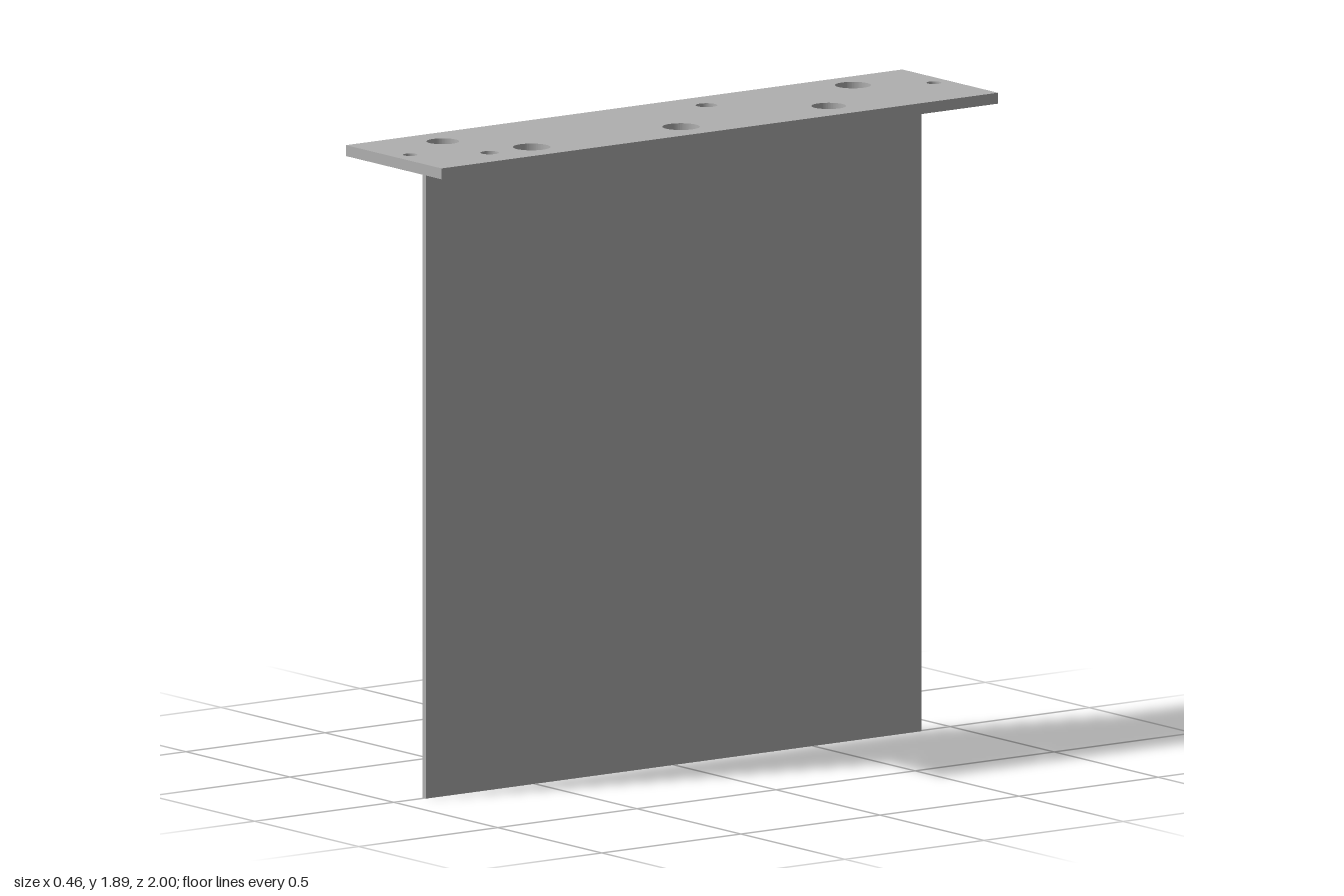
import * as THREE from 'three';

const TOP = 1.89, PLATE_THICK = 0.032, SHEET_THICK = 0.016;
const PLATE_BOTTOM = TOP - PLATE_THICK;

// Drilled holes in the top plate: x, z, radius
const HOLES = [
  [-0.007, -0.947, 0.022], [-0.117, -0.738, 0.052], [0.105, -0.485, 0.05],
  [-0.115, -0.21, 0.031], [0.113, 0.052, 0.054], [0.113, 0.589, 0.054],
  [-0.112, 0.74, 0.047], [0.113, 0.74, 0.027], [0.002, 0.942, 0.021],
];

function polygon(points) {
  return new THREE.Shape(points.map(([x, y]) => new THREE.Vector2(x, y)));
}

export function createModel() {
  const model = new THREE.Group();
  model.name = 'mountingBracket';
  const steel = new THREE.MeshStandardMaterial({ color: 0xb0b0b0 });
  steel.name = 'grey steel';

  // Flat top plate with through holes
  const outline = polygon([[-0.23, -1], [0.23, -1], [0.23, 1], [-0.23, 1]]);
  for (const [x, z, r] of HOLES) {
    outline.holes.push(new THREE.Path().absarc(x, z, r, 0, Math.PI * 2, true));
  }
  const plateGeometry = new THREE.ExtrudeGeometry(outline, {
    depth: PLATE_THICK, bevelEnabled: false, curveSegments: 32,
  });
  plateGeometry.rotateX(Math.PI / 2);
  const plate = new THREE.Mesh(plateGeometry, steel);
  plate.name = 'topPlate';
  plate.position.y = TOP;
  model.add(plate);

  // Thin hanging sheet folded over into a flange beneath the plate
  const left = -0.008, inner = left + SHEET_THICK, flangeEnd = 0.143;
  const under = PLATE_BOTTOM - SHEET_THICK;
  const profile = polygon([
    [left, 0], [inner, 0], [inner, under], [flangeEnd, under],
    [flangeEnd, PLATE_BOTTOM], [left, PLATE_BOTTOM],
  ]);
  const sheetGeometry = new THREE.ExtrudeGeometry(profile, { depth: 1.78, bevelEnabled: false });
  sheetGeometry.translate(0, 0, -0.89);
  const sheet = new THREE.Mesh(sheetGeometry, steel);
  sheet.name = 'foldedSheet';
  model.add(sheet);

  return model;
}
